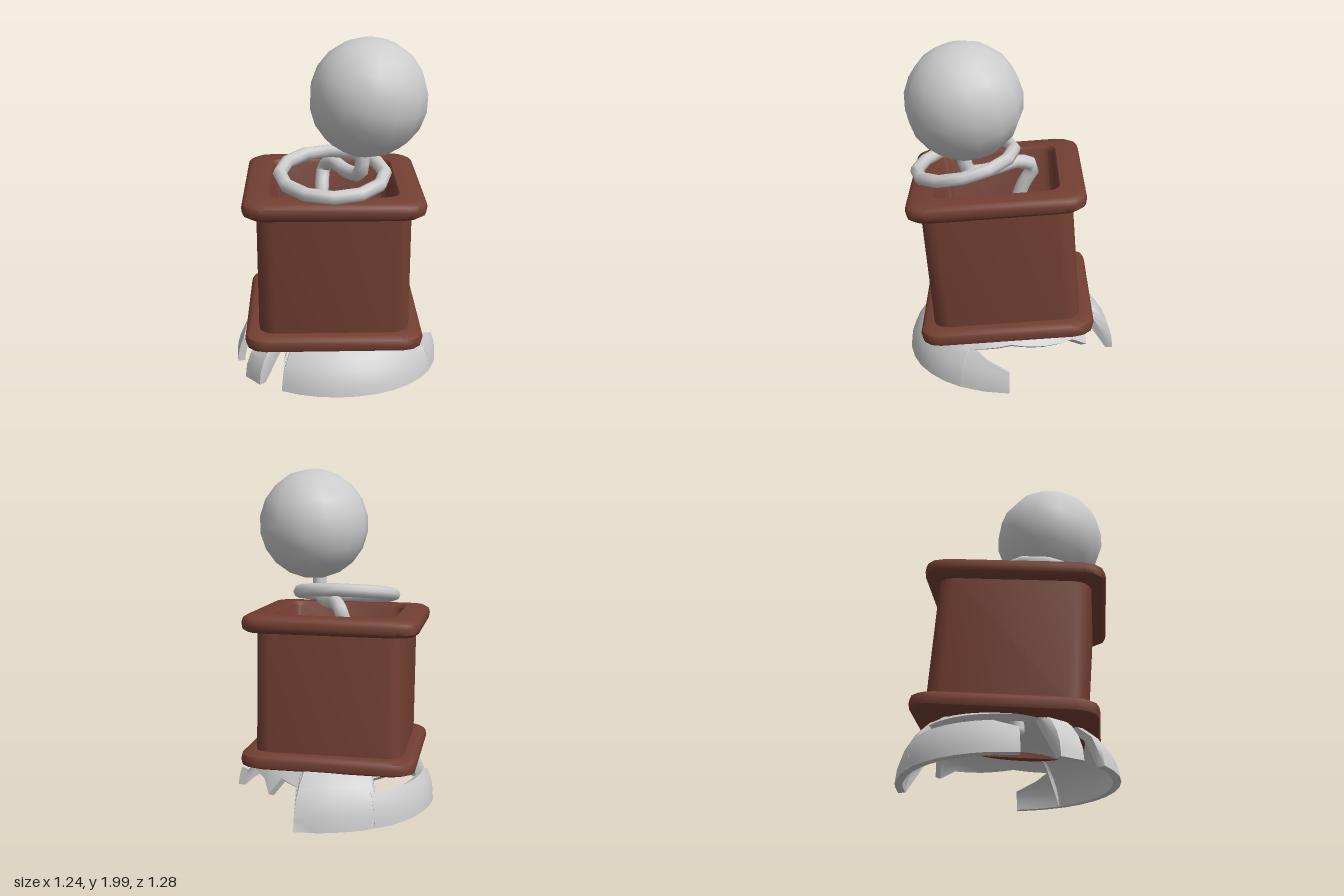
import * as THREE from 'three';
import { mergeVertices, toCreasedNormals } from 'three/addons/utils/BufferGeometryUtils.js';

const grey = new THREE.MeshStandardMaterial({ color: 0xcccccc });
const greyShell = new THREE.MeshStandardMaterial({ color: 0xcccccc, side: THREE.DoubleSide });
const brown = new THREE.MeshStandardMaterial({ color: 0x733f32 });

// Skin a list of equally long loops of points, each column joined to the next
function skin(columns, crease) {
  const n = columns[0].length, pos = [], idx = [];
  columns.forEach(c => c.forEach(p => pos.push(...p)));
  for (let u = 0; u < columns.length - 1; u++) {
    for (let v = 0; v < n - 1; v++) {
      const a = u * n + v, b = a + n;
      idx.push(a, b, a + 1, b, b + 1, a + 1);
    }
  }
  const g = new THREE.BufferGeometry();
  g.setAttribute('position', new THREE.Float32BufferAttribute(pos, 3));
  g.setIndex(idx);
  return toCreasedNormals(mergeVertices(g, 1e-4), crease);
}

function add(parent, name, geometry, material) {
  const mesh = new THREE.Mesh(geometry, material);
  mesh.name = name;
  parent.add(mesh);
  return mesh;
}

// Square tube with flanges: a profile of [half width, height] swept round a rounded square
function boxGeometry() {
  const profile = [
    [0.355, 0], [0.355, 0.875], [0.37, 0.895], [0.48, 0.895], [0.508, 0.877], [0.515, 0.85],
    [0.51, 0.817], [0.485, 0.797], [0.435, 0.797], [0.435, 0.094], [0.48, 0.094],
    [0.508, 0.076], [0.515, 0.045], [0.508, 0.015], [0.475, 0], [0.355, 0],
  ];
  const columns = [];
  for (let corner = 0; corner < 4; corner++) {
    const mid = (corner + 0.5) * Math.PI / 2;
    const sx = Math.sign(Math.cos(mid)), sz = Math.sign(Math.sin(mid));
    for (let i = 0; i <= 3; i++) {
      const a = (corner + i / 3) * Math.PI / 2;
      columns.push(profile.map(([s, y]) => {
        const r = 0.07 + (s - 0.355) * 0.3;
        return [sx * (s - r) + r * Math.cos(a), y, sz * (s - r) + r * Math.sin(a)];
      }));
    }
  }
  columns.push(columns[0]);
  return skin(columns, 0.8);
}

const R = 0.64, H = 0.42, POWER = 2.2, WALL = 0.045;

// One quarter of the dome's outline, used both ways: height from radius and radius from height
const outline = t => Math.max(0, 1 - t ** POWER) ** (1 / POWER);

// Point on the dome at an angle and radius, a bit lower in front
function domePoint(deg, r, k, inset) {
  const a = THREE.MathUtils.degToRad(deg);
  const f = r * (1 + (k - 1) * r / R) * (1 - inset / R);
  const z = f * Math.sin(a);
  return [f * Math.cos(a), (H - inset) * outline(r / R) * (1 - 0.12 * z / R), z];
}

// Shell from columns of [angle, low edge, high edge, radius factor]
function shellGeometry(keys, rows, closed) {
  const cols = [];
  for (let i = 0; i < keys.length - 1; i++) {
    const steps = Math.max(1, Math.round((keys[i + 1][0] - keys[i][0]) / 10));
    for (let s = 0; s < steps; s++) {
      cols.push(keys[i].map((v, j) => v + (keys[i + 1][j] - v) * s / steps));
    }
  }
  cols.push(keys[keys.length - 1]);
  const loop = ([deg, low, high, k], wall) => {
    const outer = [], inner = [];
    const top = R * outline(high / H), bottom = R * outline(low / H);
    for (let i = 0; i <= rows; i++) {
      const r = top + (bottom - top) * Math.sin(Math.PI / 2 * i / rows);
      outer.push(domePoint(deg, r, k, 0));
      inner.unshift(domePoint(deg, r, k, wall));
    }
    return [...outer, ...inner, outer[0]];
  };
  const loops = cols.map(c => loop(c, WALL));
  if (!closed) {
    loops.unshift(loop(cols[0], 0));
    loops.push(loop(cols[cols.length - 1], 0));
  }
  return skin(loops, 0.6);
}

export function createModel() {
  const model = new THREE.Group();
  model.name = 'crookedBoxWithBall';

  // Broken dome under the box, its lower edge cut by cracks
  const domeKeys = [
    [0, 0.26, 0.88], [26, 0.24, 0.95], [28, 0.02, 0.98], [60, 0.02, 1], [121, 0.02, 1],
    [123, 0.2, 1], [128, 0.3, 0.97], [133, 0.29, 0.97], [136, 0.01, 1], [149, 0.01, 1],
    [154, 0.28, 0.95], [180, 0.27, 0.92], [233, 0.26, 0.93], [236, 0.02, 0.95], [255, 0.02, 0.96],
    [270, 0.02, 0.99], [281, 0.02, 1.02], [285, 0.22, 0.92], [298, 0.24, 0.9], [304, 0.15, 0.9],
    [314, 0.21, 0.88], [335, 0.23, 0.88], [360, 0.26, 0.88],
  ].map(([deg, low, k]) => [deg, low, H, k]);
  add(model, 'brokenDome', shellGeometry(domeKeys, 9, true), greyShell);

  // Curved shards reaching out from the dome beside the cracks
  add(model, 'leftShard', shellGeometry(
    [[1, 0.02, 0.14, 0.97], [15, 0.02, 0.2, 0.97], [29, 0.02, 0.26, 0.98]], 4, false), greyShell);
  add(model, 'rightShard', shellGeometry(
    [[168, 0.02, 0.17, 0.97], [182, 0.02, 0.21, 0.97], [238, 0.02, 0.2, 0.95]], 4, false), greyShell);

  // Leaning open box
  const box = add(model, 'box', boxGeometry(), brown);
  box.position.set(-0.025, 0.276, 0.02);
  box.rotation.x = 0.08;

  // Bent rod from under the dome to the ball
  const path = new THREE.CatmullRomCurve3([
    [-0.06, 0.32, 0.07], [-0.09, 0.7, 0.03], [-0.085, 1.05, -0.07], [-0.07, 1.18, -0.13],
    [-0.02, 1.23, -0.04], [0.06, 1.21, 0.12], [0.13, 1.23, 0.25], [0.14, 1.4, 0.28],
  ].map(p => new THREE.Vector3(...p)));
  add(model, 'rod', new THREE.TubeGeometry(path, 28, 0.042, 10), grey);
  const end = add(model, 'rodEnd', new THREE.SphereGeometry(0.042, 10, 6), grey);
  end.position.copy(path.points[0]);

  // Tilted ring
  const ringGeometry = new THREE.TorusGeometry(0.3, 0.04, 8, 12);
  ringGeometry.rotateX(Math.PI / 2);
  const ring = add(model, 'ring', ringGeometry, grey);
  ring.position.set(-0.03, 1.235, 0.275);
  ring.rotation.x = 0.235;

  // Ball
  const ball = add(model, 'ball', new THREE.SphereGeometry(0.337, 14, 10), grey);
  ball.position.set(0.172, 1.665, 0.265);
  ball.rotation.set(0.2, 0.2, -0.2);

  return model;
}
